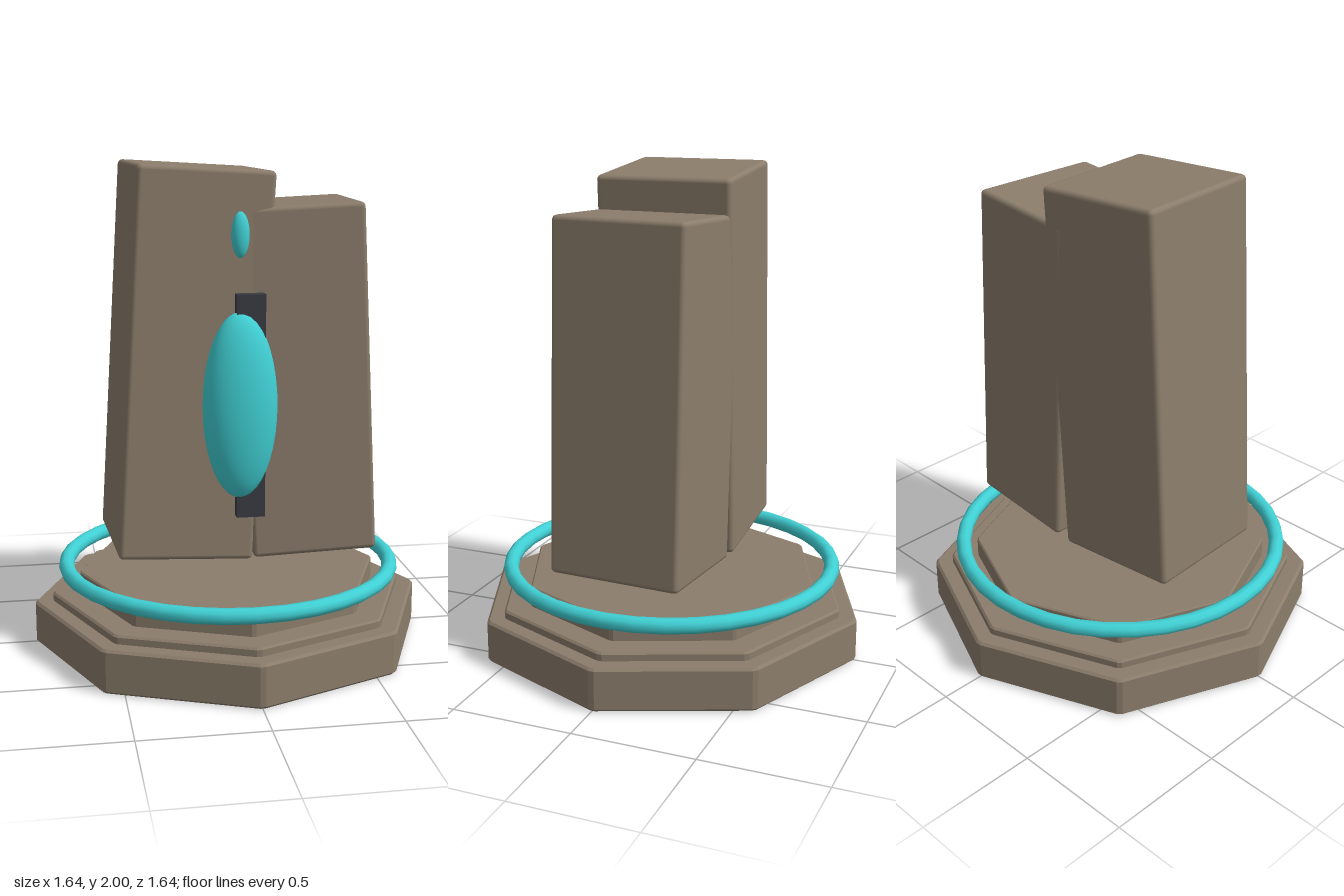
import * as THREE from 'three';
import { RoundedBoxGeometry } from 'three/addons/geometries/RoundedBoxGeometry.js';

const material = (name, color) => {
  const m = new THREE.MeshStandardMaterial({ color });
  m.name = name;
  return m;
};

// Octagonal slab with a point facing front, softened corners and bevelled rims
function octagonSlab(radius, bottom, top, bevel) {
  const shape = new THREE.Shape();
  const r = radius - bevel;
  for (let i = 0; i < 8; i++) {
    for (const side of [-1, 1]) {
      const a = (i * Math.PI) / 4 + side * 0.012;
      const x = Math.cos(a) * r, y = Math.sin(a) * r;
      if (i === 0 && side === -1) shape.moveTo(x, y);
      else shape.lineTo(x, y);
    }
  }
  shape.closePath();
  const geometry = new THREE.ExtrudeGeometry(shape, {
    depth: top - bottom - 2 * bevel,
    bevelEnabled: true, bevelSize: bevel, bevelThickness: bevel, bevelSegments: 1,
  });
  geometry.rotateX(-Math.PI / 2);
  geometry.translate(0, bottom + bevel, 0);
  return geometry;
}

export function createModel() {
  const stone = material('stone', 0x8b7d6b);
  const glow = material('turquoise glow', 0x40d0d4);
  const dark = material('dark slot', 0x3a3c42);

  const group = new THREE.Group();
  const add = (name, geometry, mat, position = [0, 0, 0], rotation = [0, 0, 0]) => {
    const mesh = new THREE.Mesh(geometry, mat);
    mesh.name = name;
    mesh.position.set(...position);
    mesh.rotation.set(...rotation);
    group.add(mesh);
    return mesh;
  };

  // Stepped plinth
  add('plinthBottom', octagonSlab(0.82, 0, 0.18, 0.01), stone);
  add('plinthMiddle', octagonSlab(0.745, 0.17, 0.215, 0.008), stone);
  add('plinthTop', octagonSlab(0.63, 0.2, 0.3, 0.006), stone);

  // Floating ring
  add('ring', new THREE.TorusGeometry(0.687, 0.032, 10, 36), glow, [0, 0.323, 0], [Math.PI / 2, 0, 0]);

  // Two halves of the split monolith, leaning together
  add('tallSlab', new RoundedBoxGeometry(0.55, 1.57, 0.56, 2, 0.02), stone, [-0.182, 1.203, 0], [0, 0.05, -0.06]);
  add('shortSlab', new RoundedBoxGeometry(0.51, 1.42, 0.56, 2, 0.02), stone, [0.296, 1.13, 0], [0, -0.05, 0.05]);

  // Slot and gems on the front
  add('slot', new THREE.BoxGeometry(0.115, 0.9, 0.12), dark, [0.042, 1.05, 0.258]);
  const gem = new THREE.SphereGeometry(1, 32, 20);
  add('largeGem', gem, glow, [0, 1.055, 0.3]).scale.set(0.15, 0.375, 0.1);
  add('smallGem', gem, glow, [0, 1.73, 0.3]).scale.set(0.036, 0.09, 0.03);

  return group;
}
